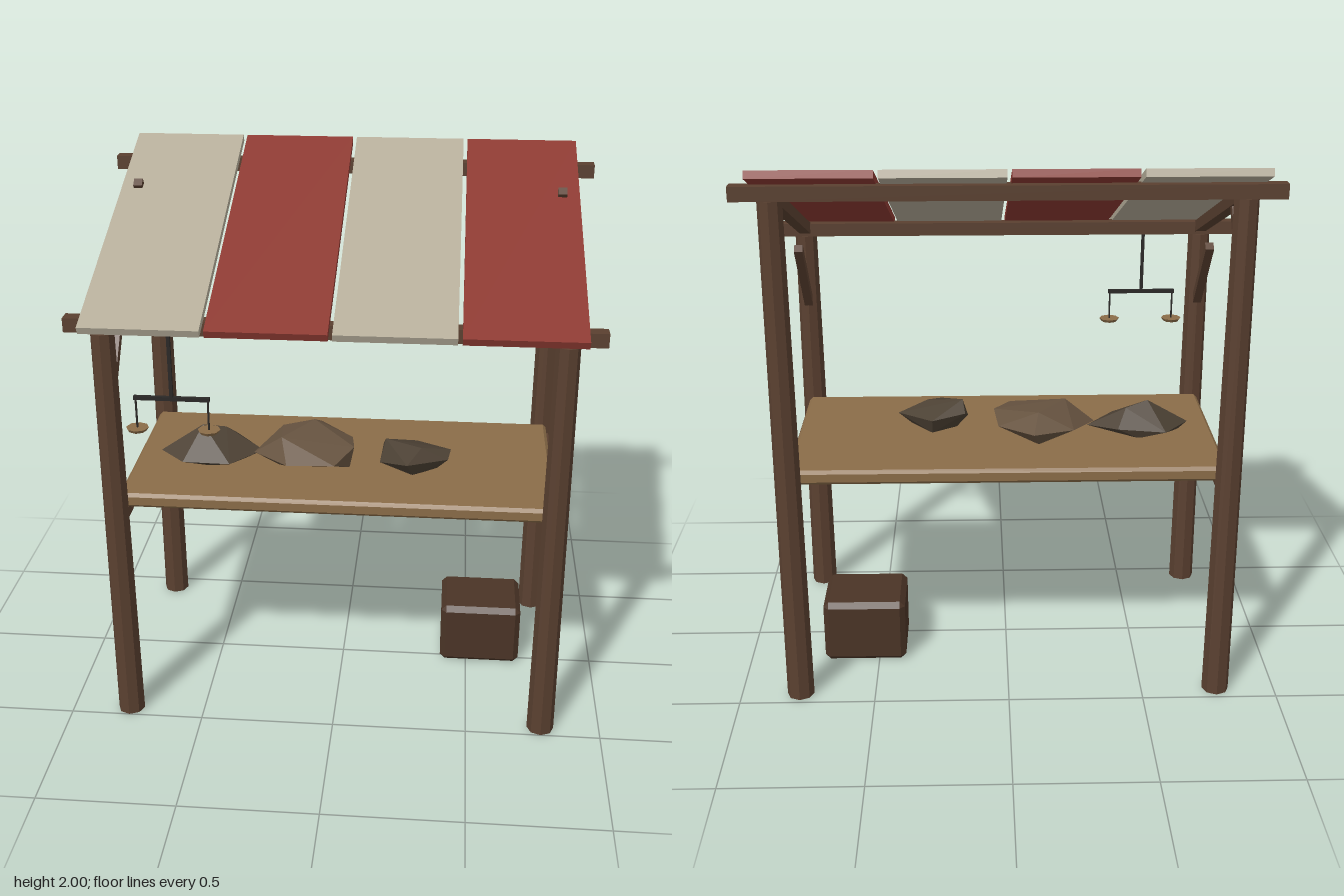
import * as THREE from 'three';
import { ConvexGeometry } from 'three/addons/geometries/ConvexGeometry.js';

const mat = (color) => new THREE.MeshStandardMaterial({ color, flatShading: true });
const WOOD = mat(0x5a4030), PLANK = mat(0x8a6c48), CRATE = mat(0x4a3426), IRON = mat(0x2a2826);
const RED = mat(0x8c3a32), CREAM = mat(0xb5ad9a), ROCK = mat(0x4c4134), PALE_ROCK = mat(0x665340);

const SLOPE = THREE.MathUtils.degToRad(20.9);

export function createModel() {
  const root = new THREE.Group();

  const add = (name, geometry, material, x = 0, y = 0, z = 0, tilt = 0) => {
    const mesh = new THREE.Mesh(geometry, material);
    mesh.name = name;
    mesh.position.set(x, y, z);
    mesh.rotation.x = tilt;
    root.add(mesh);
    return mesh;
  };
  const box = (name, material, w, h, d, x, y, z, tilt) =>
    add(name, new THREE.BoxGeometry(w, h, d), material, x, y, z, tilt);

  // Box with every edge cut at 45 degrees
  const chamferBox = (w, h, d, c) => {
    const pts = [];
    for (const sx of [-1, 1]) for (const sy of [-1, 1]) for (const sz of [-1, 1]) {
      for (let axis = 0; axis < 3; axis++) {
        const inset = [c, c, c];
        inset[axis] = 0;
        pts.push(new THREE.Vector3(
          sx * (w / 2 - inset[0]), sy * (h / 2 - inset[1]), sz * (d / 2 - inset[2])));
      }
    }
    return new ConvexGeometry(pts);
  };

  // Square strut between two points in the plane of one side frame
  const strut = (name, x, [z0, y0], [z1, y1], size) => {
    const dz = z1 - z0, dy = y1 - y0;
    box(name, WOOD, size, size, Math.hypot(dz, dy), x, (y0 + y1) / 2, (z0 + z1) / 2, Math.atan2(-dy, dz));
  };

  // Side frames: posts, rafters, braces and table rails
  for (const [side, x] of [['left', 0.78], ['right', -0.78]]) {
    for (const [end, z, h] of [['Front', 0.45, 1.54], ['Back', -0.435, 1.88]]) {
      add(`${side}${end}Post`, new THREE.CylinderGeometry(0.042, 0.05, h, 8), WOOD, x, h / 2, z);
    }
    strut(`${side}Rafter`, x, [0.45, 1.562], [-0.45, 1.902], 0.042);
    strut(`${side}FrontBrace`, x, [0.42, 1.27], [0.195, 1.55], 0.032);
    strut(`${side}BackBrace`, x, [-0.42, 1.6], [-0.195, 1.888], 0.032);
    box(`${side}TableRail`, WOOD, 0.05, 0.04, 0.88, x, 0.81, 0.005);
  }

  // Cross beams carrying the roof
  box('frontBeam', WOOD, 1.82, 0.05, 0.05, 0, 1.565, 0.443);
  box('backBeam', WOOD, 1.82, 0.05, 0.05, 0, 1.905, -0.445);

  // Striped roof panels
  for (let i = 0; i < 4; i++) {
    box('roofPanel', i % 2 ? RED : CREAM, 0.41, 0.027, 1.15, (i - 1.5) * 0.425, 1.778, 0, SLOPE);
  }

  // Table top and crate
  add('tableTop', chamferBox(1.58, 0.055, 0.75, 0.012), PLANK, 0, 0.855, 0);
  add('crate', chamferBox(0.315, 0.25, 0.265, 0.02), CRATE, 0.553, 0.125, -0.088);

  // Rough stones on the table: corner points as x, y, z
  const stones = [
    [ROCK, [
      [-0.70, 0.9, 0.03], [-0.54, 1.0, 0.0], [-0.455, 0.98, -0.03], [-0.31, 0.9, 0.0],
      [-0.6, 0.9, 0.13], [-0.42, 0.9, 0.135], [-0.6, 0.91, -0.11], [-0.42, 0.92, -0.1],
      [-0.66, 0.88, 0.0], [-0.37, 0.88, 0.03], [-0.5, 0.88, 0.11], [-0.5, 0.88, -0.09]]],
    [PALE_ROCK, [
      [-0.34, 0.905, 0.03], [-0.23, 0.985, 0.06], [-0.12, 0.992, -0.1], [0.045, 0.95, 0.05],
      [-0.25, 0.94, -0.15], [-0.1, 0.94, -0.2], [0.03, 0.93, -0.08], [-0.2, 0.92, 0.17],
      [-0.02, 0.93, 0.18], [-0.24, 0.88, 0.08], [0.03, 0.88, 0.08], [-0.12, 0.88, -0.14]]],
    [ROCK, [
      [0.165, 0.99, 0.05], [0.3, 0.975, 0.09], [0.41, 0.945, 0.03], [0.4, 0.925, 0.08],
      [0.145, 0.91, 0.09], [0.155, 0.95, 0.0], [0.25, 0.945, 0.185], [0.28, 0.94, -0.05],
      [0.19, 0.88, 0.04], [0.27, 0.88, 0.13], [0.36, 0.885, 0.07], [0.28, 0.88, -0.02]]],
  ];
  for (const [material, corners] of stones) {
    add('stone', new ConvexGeometry(corners.map((p) => new THREE.Vector3(...p))), material);
  }

  // Balance scale hanging from the front beam
  const cx = -0.557, cz = 0.445;
  box('scaleRod', IRON, 0.012, 0.25, 0.012, cx, 1.425, cz);
  box('scaleArm', IRON, 0.265, 0.014, 0.014, cx, 1.299, cz);
  for (const s of [-1, 1]) {
    box('scaleCord', IRON, 0.006, 0.115, 0.006, cx + s * 0.126, 1.24, cz);
    add('scalePan', new THREE.CylinderGeometry(0.04, 0.032, 0.012, 8), PLANK, cx + s * 0.126, 1.181, cz);
  }

  return root;
}
